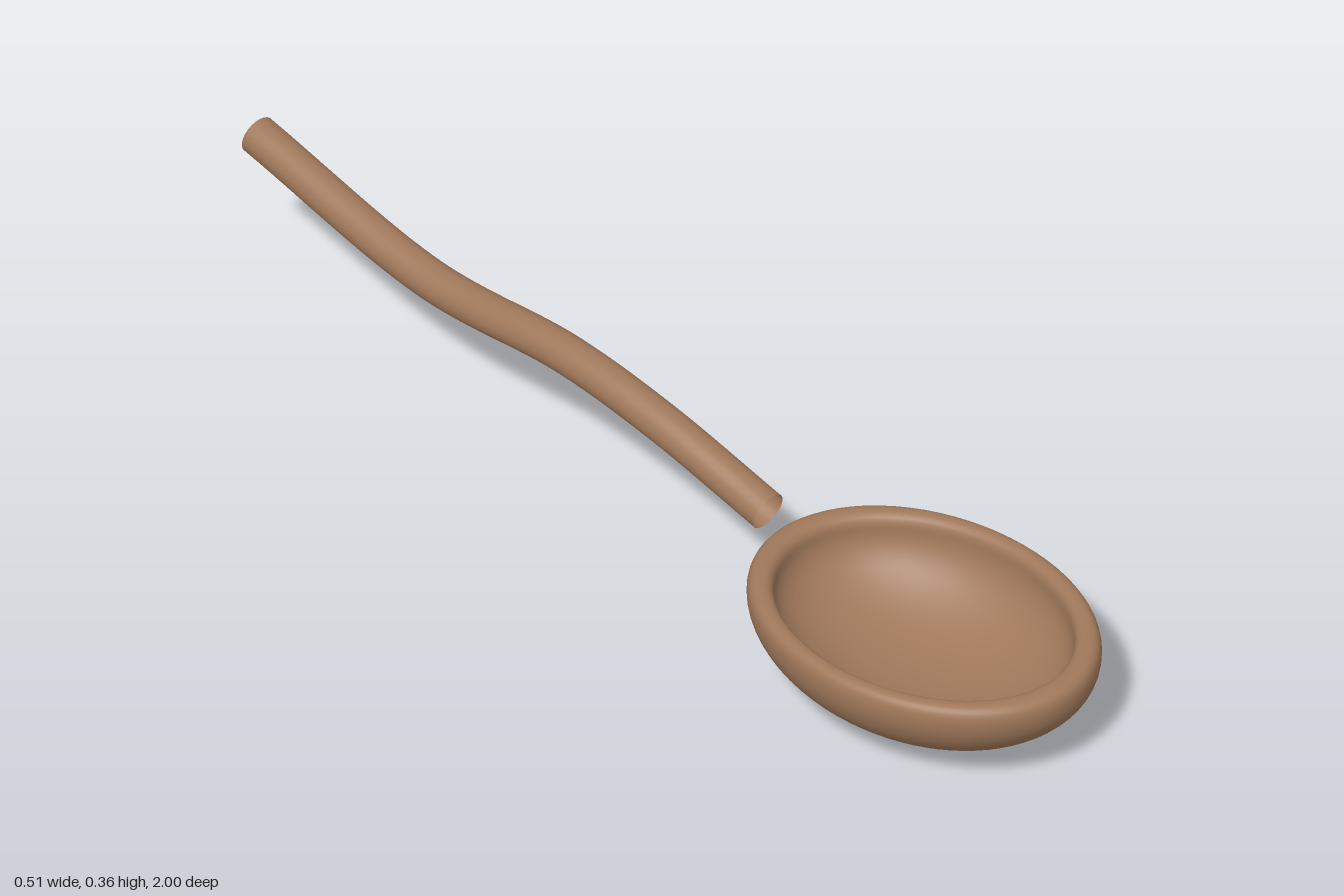
import * as THREE from 'three';

const wood = new THREE.MeshStandardMaterial({ color: 0xa0785a, side: THREE.DoubleSide });

// Samples a quarter ellipse from the axis at the bottom out to its widest point
function quarterEllipse(radius, bottom, top, steps) {
  return Array.from({ length: steps + 1 }, (_, i) => {
    const a = (i / steps) * Math.PI / 2;
    return new THREE.Vector2(radius * Math.sin(a), top - (top - bottom) * Math.cos(a));
  });
}

// Oval bowl: a lathed shell with a rounded rim, stretched along z
function makeBowl() {
  const outer = quarterEllipse(0.257, 0, 0.165, 24);
  const inner = quarterEllipse(0.217, 0.035, 0.172, 24).reverse();
  const rim = new THREE.CubicBezierCurve(
    outer[24], new THREE.Vector2(0.257, 0.187),
    new THREE.Vector2(0.25, 0.196), new THREE.Vector2(0.236, 0.196)
  ).getPoints(8).slice(1);
  const lip = new THREE.QuadraticBezierCurve(
    rim[7], new THREE.Vector2(0.218, 0.196), inner[0]
  ).getPoints(6).slice(1, -1);
  const bowl = new THREE.Mesh(new THREE.LatheGeometry([...outer, ...rim, ...lip, ...inner], 72), wood);
  bowl.name = 'bowl';
  bowl.scale.z = 0.346 / 0.257;
  bowl.position.z = 0.654;
  return bowl;
}

// Handle: an open-ended tube along a gentle wave
function makeHandle() {
  const path = new THREE.CatmullRomCurve3([
    new THREE.Vector3(0, 0.208, 0.283),
    new THREE.Vector3(0, 0.27, 0.03),
    new THREE.Vector3(0.01, 0.29, -0.2),
    new THREE.Vector3(0.031, 0.262, -0.55),
    new THREE.Vector3(0.068, 0.322, -0.993),
  ]);
  const handle = new THREE.Mesh(new THREE.TubeGeometry(path, 80, 0.036, 24), wood);
  handle.name = 'handle';
  return handle;
}

export function createModel() {
  const spoon = new THREE.Group();
  spoon.name = 'spoon';
  spoon.add(makeBowl(), makeHandle());
  return spoon;
}
